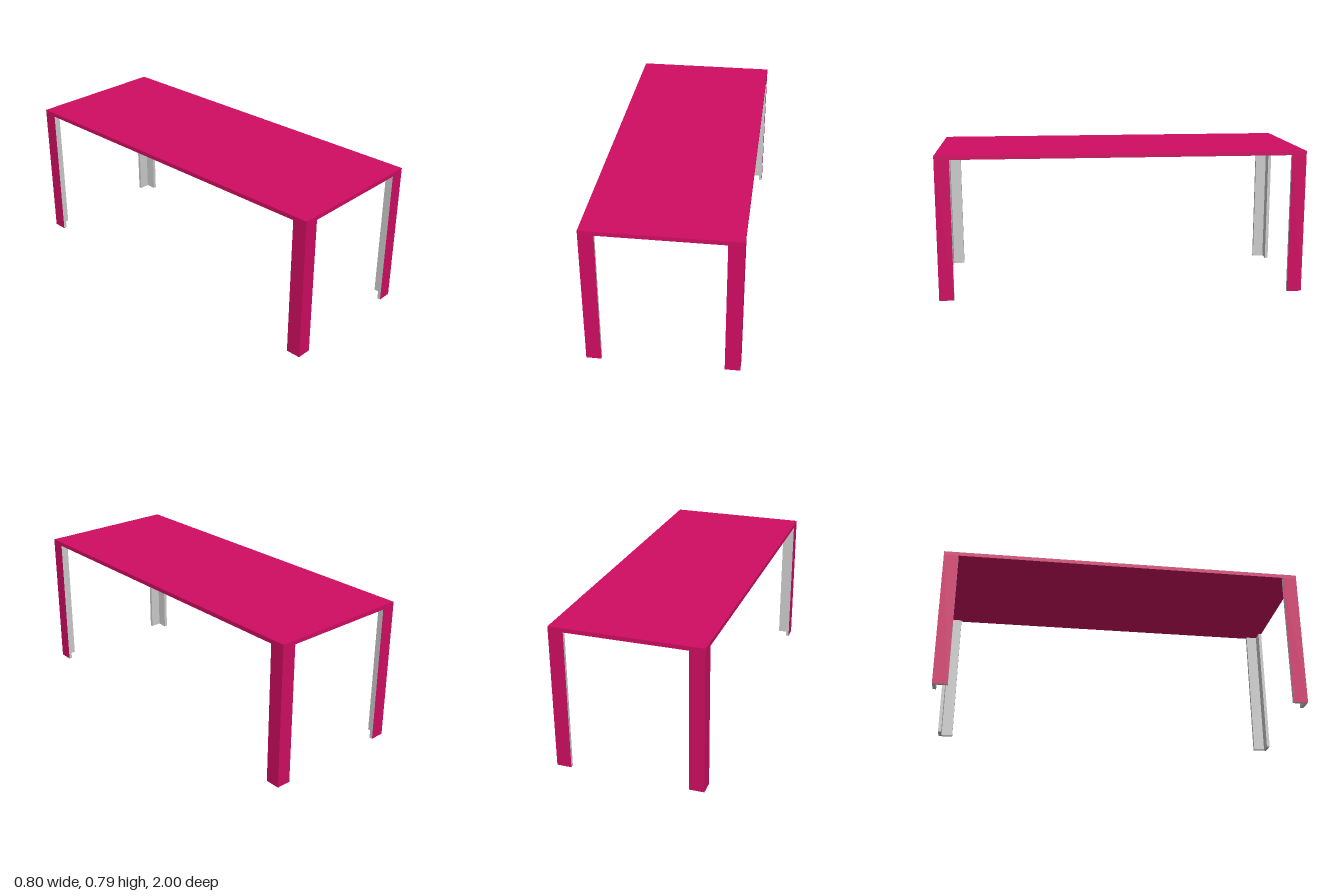
import * as THREE from 'three';

const HX = 0.4, HZ = 1, H = 0.79;          // half width, half length, height
const TOP = 0.022, FLANGE = 0.08, T = 0.018; // slab thickness, leg flange width and thickness

const materials = [
  new THREE.MeshStandardMaterial({ color: 0xcf0d61 }), // outer skin
  new THREE.MeshStandardMaterial({ color: 0xcccccc }), // inner faces and cut ends
];

// Faces lying on the outside of the table get the coloured skin, all others stay grey.
function skinned(geometry, name) {
  const geo = geometry.index ? geometry.toNonIndexed() : geometry;
  geo.clearGroups();
  const p = geo.attributes.position;
  const near = (a, b) => Math.abs(Math.abs(a) - b) < 1e-4;
  for (let i = 0; i < p.count; i += 3) {
    const v = [i, i + 1, i + 2];
    const outer = v.every(k => near(p.getX(k), HX)) ||
      v.every(k => near(p.getZ(k), HZ)) ||
      v.every(k => near(p.getY(k), H));
    geo.addGroup(i, 3, outer ? 0 : 1);
  }
  const mesh = new THREE.Mesh(geo, materials);
  mesh.name = name;
  return mesh;
}

// Angle-profile leg with its outer corner at the table corner.
function leg(sx, sz, name) {
  const profile = [
    [HX, HZ], [HX - FLANGE, HZ], [HX - FLANGE, HZ - T],
    [HX - T, HZ - T], [HX - T, HZ - FLANGE], [HX, HZ - FLANGE],
  ].map(([x, z]) => new THREE.Vector2(sx * x, -sz * z));
  const geo = new THREE.ExtrudeGeometry(new THREE.Shape(profile), { depth: H - TOP, bevelEnabled: false });
  geo.rotateX(-Math.PI / 2);
  return skinned(geo, name);
}

export function createModel() {
  const table = new THREE.Group();
  table.name = 'table';

  // Tabletop slab
  const slab = new THREE.BoxGeometry(2 * HX, TOP, 2 * HZ).translate(0, H - TOP / 2, 0);
  table.add(skinned(slab, 'tabletop'));

  // Four corner legs
  for (const [sz, end] of [[1, 'front'], [-1, 'back']])
    for (const [sx, side] of [[1, 'Left'], [-1, 'Right']])
      table.add(leg(sx, sz, `${end}${side}Leg`));

  return table;
}
